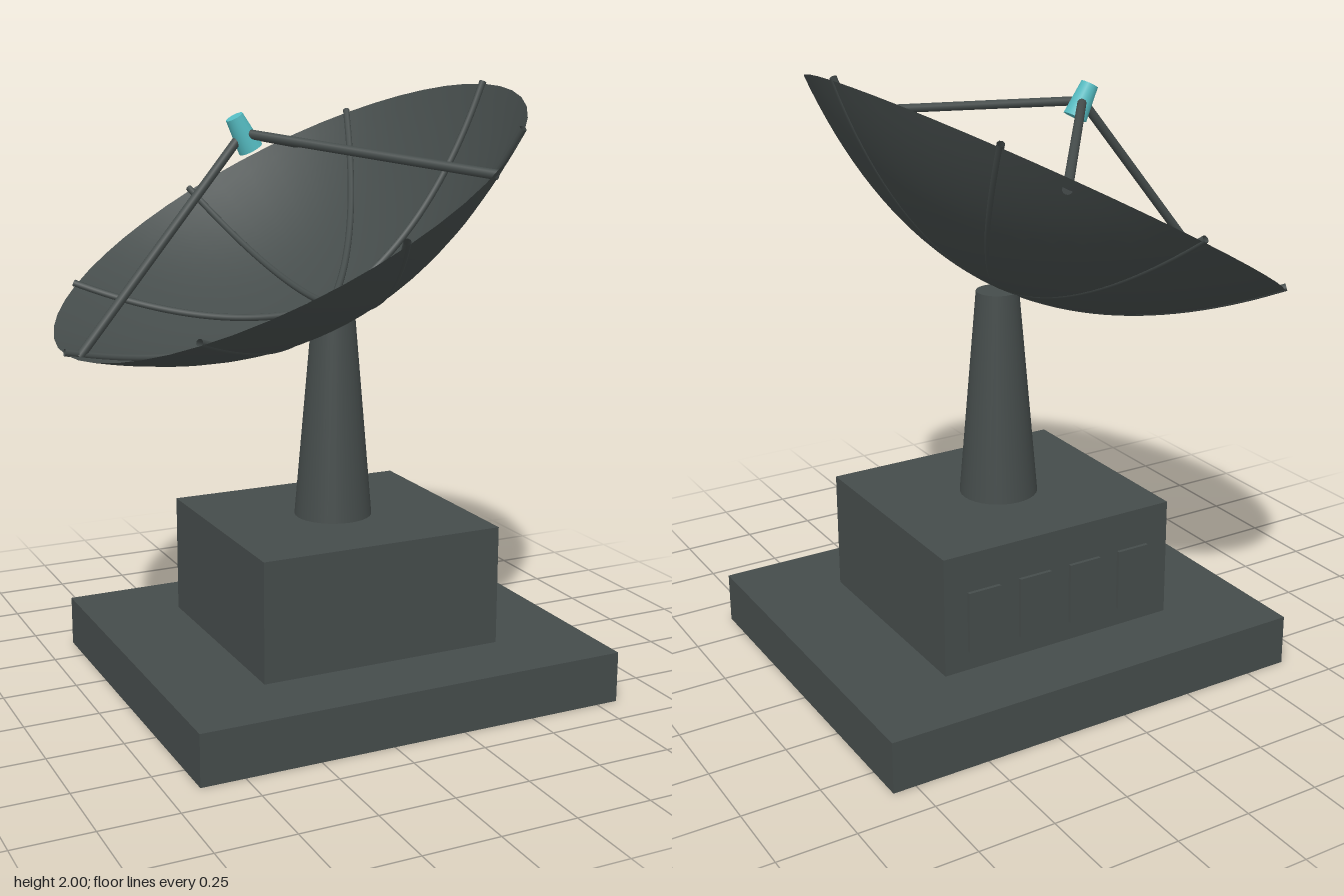
import * as THREE from 'three';

export function createModel() {
  const model = new THREE.Group();
  const grey = new THREE.MeshStandardMaterial({ color: 0x454c4b, side: THREE.DoubleSide });
  grey.name = 'dark grey';
  const teal = new THREE.MeshStandardMaterial({ color: 0x55bcc2 });
  teal.name = 'teal';

  const add = (parent, name, geometry, material, x = 0, y = 0, z = 0) => {
    const mesh = new THREE.Mesh(geometry, material);
    mesh.name = name;
    mesh.position.set(x, y, z);
    parent.add(mesh);
    return mesh;
  };

  // Straight rod between two points
  const rod = (parent, name, a, b, radius) => {
    const dir = b.clone().sub(a);
    const mesh = add(parent, name, new THREE.CylinderGeometry(radius, radius, dir.length(), 12), grey);
    mesh.position.copy(a).addScaledVector(dir, 0.5);
    mesh.quaternion.setFromUnitVectors(new THREE.Vector3(0, 1, 0), dir.normalize());
  };

  // Foundation, equipment house and tapered pedestal
  const cx = 0.09;
  add(model, 'foundation', new THREE.BoxGeometry(1.47, 0.17, 1.26), grey, cx, 0.085, 0);
  add(model, 'equipmentHouse', new THREE.BoxGeometry(0.84, 0.4, 0.76), grey, cx, 0.37, 0);
  add(model, 'pedestal', new THREE.CylinderGeometry(0.07, 0.13, 0.695, 32), grey, cx, 0.9175, 0);

  // Raised panels along the back of the house
  for (let i = 0; i < 4; i++) {
    add(model, 'backPanel', new THREE.BoxGeometry(0.115, 0.205, 0.02), grey, cx + (i - 1.5) * 0.187, 0.3375, -0.382);
  }

  // Tilted antenna, with its origin at the bottom of the bowl
  const antenna = new THREE.Group();
  antenna.name = 'antenna';
  antenna.position.set(0.084, 1.271, 0);
  antenna.rotation.z = 0.497;
  model.add(antenna);

  const R = 0.833, depth = 0.36;
  const bowl = (r) => depth * (r / R) ** 2;
  const onBowl = (r, angle, lift = 0) =>
    new THREE.Vector3(r * Math.cos(angle), bowl(r) + lift, r * Math.sin(angle));

  const profile = [];
  for (let i = 0; i <= 20; i++) profile.push(new THREE.Vector2((R * i) / 20, bowl((R * i) / 20)));
  add(antenna, 'dish', new THREE.LatheGeometry(profile, 48), grey);

  // Eight curved ribs lying on the bowl
  for (let k = 0; k < 8; k++) {
    const points = [];
    for (let i = 0; i <= 10; i++) points.push(onBowl((R * i) / 10, (k * Math.PI) / 4, 0.01));
    add(antenna, 'rib', new THREE.TubeGeometry(new THREE.CatmullRomCurve3(points), 24, 0.012, 8), grey);
  }

  // Feed horn on three struts
  const focus = new THREE.Vector3(0, 0.655, 0);
  add(antenna, 'feedHorn', new THREE.CylinderGeometry(0.029, 0.04, 0.115, 16), teal, 0, focus.y, 0);
  for (let k = 0; k < 3; k++) {
    rod(antenna, 'feedStrut', onBowl(0.8, Math.PI + (k * Math.PI * 2) / 3), focus, 0.015);
  }

  return model;
}
